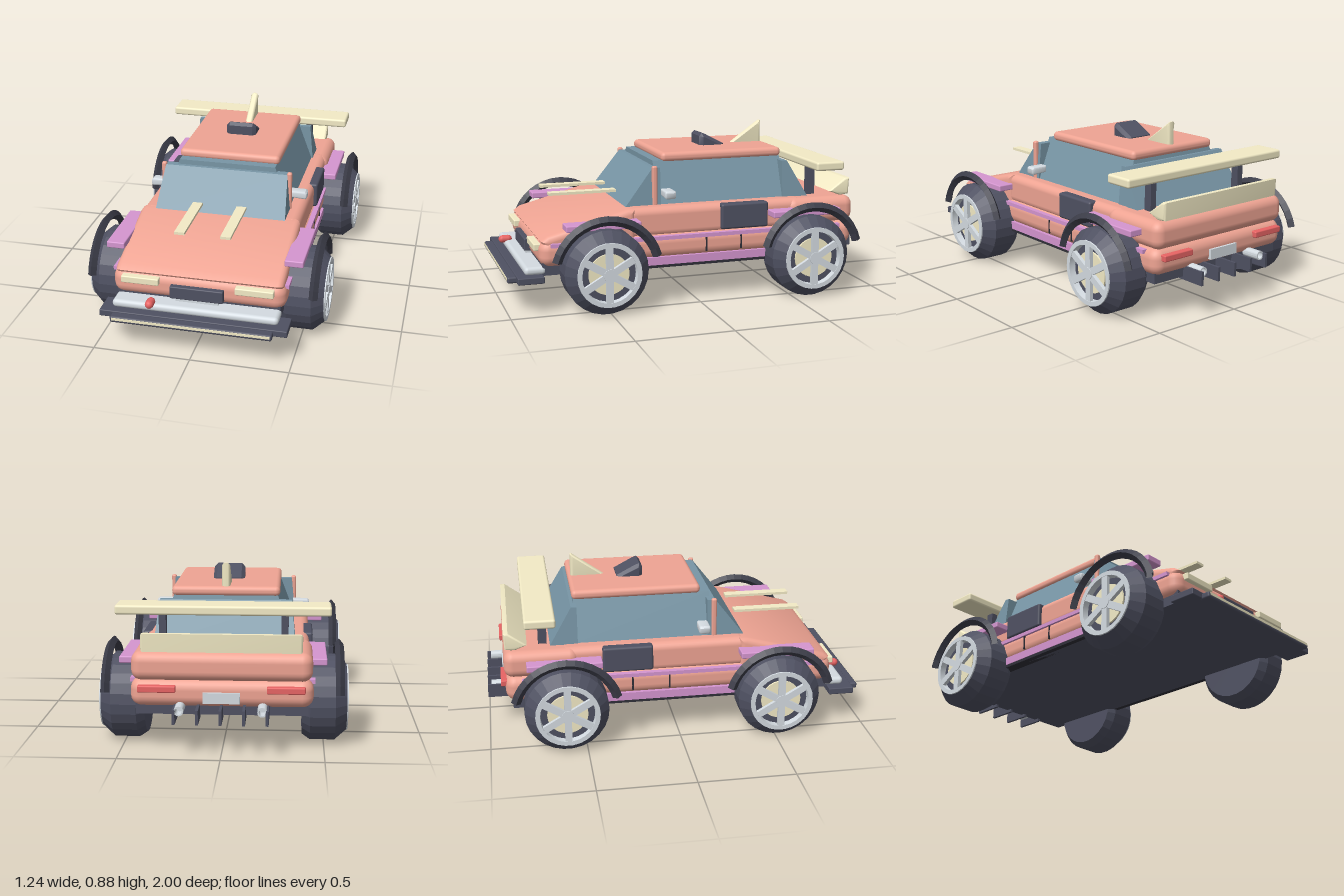
import * as THREE from 'three';
import { toCreasedNormals } from 'three/addons/utils/BufferGeometryUtils.js';
import { RoundedBoxGeometry } from 'three/addons/geometries/RoundedBoxGeometry.js';

const mat = (color, side = THREE.FrontSide) => new THREE.MeshStandardMaterial({ color, side });
const coral = mat(0xefa493), glass = mat(0x7896a6), cream = mat(0xf3ebc6), lilac = mat(0xd596d0),
  dark = mat(0x4f5162), black = mat(0x2f2f38), silver = mat(0xd4dbe1), red = mat(0xe86464),
  flareBlack = mat(0x3c3d49, THREE.DoubleSide);

export function createModel() {
  const car = new THREE.Group();
  car.name = 'rallyCar';

  const add = (name, geo, material, parent = car) => {
    const m = new THREE.Mesh(geo, material);
    m.name = name;
    parent.add(m);
    return m;
  };
  // Box given by its extents, rounded when r > 0
  const box = (name, material, [x0, x1], [y0, y1], [z0, z1], r = 0) => {
    const s = [x1 - x0, y1 - y0, z1 - z0];
    const geo = r ? new RoundedBoxGeometry(...s, 3, r) : new THREE.BoxGeometry(...s);
    return add(name, geo.translate((x0 + x1) / 2, (y0 + y1) / 2, (z0 + z1) / 2), material);
  };
  // Same box on both sides of the car
  const pair = (name, material, [x0, x1], y, z, r) => {
    box(name + 'Left', material, [x0, x1], y, z, r);
    box(name + 'Right', material, [-x1, -x0], y, z, r);
  };
  // Side outline of [z, y] points stretched across the car, with bevelled edges
  const profile = (name, material, pts, halfWidth, bevel = 0, segments = 4) => {
    const shape = new THREE.Shape(pts.map(([z, y]) => new THREE.Vector2(z, y)));
    const geo = new THREE.ExtrudeGeometry(shape, {
      depth: 2 * (halfWidth - bevel), bevelEnabled: bevel > 0, bevelSize: bevel,
      bevelThickness: bevel, bevelOffset: -bevel, bevelSegments: segments,
    });
    geo.translate(0, 0, -(halfWidth - bevel)).rotateY(-Math.PI / 2);
    return add(name, toCreasedNormals(geo, 0.6), material);
  };
  // Block with a smaller or shifted top: bottom and top are [halfWidth, y, zFront, zBack]
  const taper = (name, material, bottom, top) => {
    const geo = new THREE.BoxGeometry(1, 1, 1), p = geo.attributes.position;
    for (let i = 0; i < p.count; i++) {
      const [w, y, front, back] = p.getY(i) > 0 ? top : bottom;
      p.setXYZ(i, Math.sign(p.getX(i)) * w, y, p.getZ(i) > 0 ? front : back);
    }
    geo.computeVertexNormals();
    return add(name, geo, material);
  };

  // Body shell
  box('lowerBody', coral, [-0.445, 0.445], [0.235, 0.375], [-0.905, 0.835], 0.055);
  box('shoulder', coral, [-0.425, 0.425], [0.35, 0.51], [-0.62, 0.37], 0.04);
  box('rearDeck', coral, [-0.44, 0.44], [0.365, 0.508], [-0.91, -0.52], 0.05);
  profile('hood', coral, [[0.33, 0.33], [0.8, 0.33], [0.825, 0.37], [0.79, 0.395], [0.37, 0.508], [0.33, 0.508]], 0.432, 0.03);
  box('floor', dark, [-0.42, 0.42], [0.195, 0.26], [-0.87, 0.82]);

  // Cabin glass, narrowing towards the roof
  taper('cabinGlass', glass, [0.35, 0.5, 0.19, -0.57], [0.262, 0.73, 0.19, -0.53]);
  taper('windscreen', glass, [0.352, 0.5, 0.37, 0.17], [0.333, 0.703, 0.212, 0.17]);
  taper('rearWindow', glass, [0.355, 0.5, -0.52, -0.67], [0.335, 0.705, -0.52, -0.55]);
  pair('pillar', coral, [0.33, 0.357], [0.5, 0.715], [0.19, 0.218], 0.01);
  box('roof', coral, [-0.275, 0.275], [0.72, 0.77], [-0.54, 0.143], 0.022);

  // Roof scoop and fin
  profile('roofScoop', dark, [[-0.28, 0.75], [-0.14, 0.75], [-0.14, 0.82], [-0.155, 0.836], [-0.175, 0.83], [-0.28, 0.775]], 0.083, 0.018, 1);
  profile('roofFin', cream, [[-0.525, 0.75], [-0.34, 0.75], [-0.34, 0.765], [-0.515, 0.889], [-0.525, 0.889]], 0.021, 0.018);

  // Wing and tail lip
  box('rearWing', cream, [-0.528, 0.528], [0.67, 0.717], [-0.8, -0.64], 0.012);
  pair('wingStrut', dark, [0.285, 0.32], [0.49, 0.68], [-0.725, -0.68]);
  profile('tailLip', cream, [[-0.9, 0.51], [-0.85, 0.505], [-0.785, 0.53], [-0.88, 0.6], [-0.905, 0.6]], 0.39, 0.012);

  // Floating hood strips
  pair('hoodStrip', cream, [0.092, 0.145], [0.55, 0.564], [0.36, 0.725]);

  // Side trim
  pair('sideStrip', lilac, [0.42, 0.453], [0.342, 0.362], [-0.82, 0.78]);
  pair('sideSkirt', lilac, [0.39, 0.45], [0.21, 0.252], [-0.42, 0.34]);
  pair('sideSill', black, [0.39, 0.447], [0.195, 0.212], [-0.42, 0.34]);
  pair('sideIntake', dark, [0.385, 0.445], [0.372, 0.508], [-0.4, -0.135], 0.012);
  for (const z of [-0.05, -0.245]) pair('panelSeam', black, [0.43, 0.448], [0.265, 0.342], [z - 0.004, z + 0.004]);
  // Mirrors narrow towards the tip
  for (const s of [-1, 1]) {
    const shape = new THREE.Shape([[0.34, 0.556], [0.425, 0.55], [0.432, 0.56], [0.432, 0.582], [0.422, 0.592], [0.34, 0.592]]
      .map(([x, y]) => new THREE.Vector2(s * x, y)));
    const geo = new THREE.ExtrudeGeometry(shape, { depth: 0.04, bevelSize: 0.01, bevelThickness: 0.01, bevelOffset: -0.01, bevelSegments: 3 });
    add('mirror', toCreasedNormals(geo, 0.7), silver).position.z = 0.121;
  }

  // Nose: lights, plate, bumper, splitter
  pair('headlight', cream, [0.195, 0.39], [0.318, 0.355], [0.8, 0.858], 0.006);
  box('frontPlate', dark, [-0.137, 0.137], [0.26, 0.327], [0.81, 0.862], 0.006);
  box('plateTrim', silver, [-0.11, 0.11], [0.243, 0.258], [0.81, 0.85]);
  box('frontBumper', silver, [-0.425, 0.425], [0.2, 0.243], [0.8, 0.912], 0.02);
  box('splitter', dark, [-0.478, 0.478], [0.17, 0.205], [0.82, 0.955], 0.005);
  box('splitterLip', dark, [-0.41, 0.41], [0.165, 0.198], [0.94, 0.998], 0.01);
  box('splitterStripe', cream, [-0.4, 0.4], [0.179, 0.192], [0.98, 1]);
  add('towHook', new THREE.CapsuleGeometry(0.022, 0.03, 4, 12).rotateX(Math.PI / 2), red).position.set(-0.225, 0.247, 0.905);

  // Tail: lights, plate, diffuser, exhausts
  pair('tailLight', red, [0.22, 0.405], [0.315, 0.348], [-0.928, -0.89], 0.006);
  box('rearPlate', silver, [-0.09, 0.09], [0.262, 0.315], [-0.918, -0.89]);
  for (let i = -2; i <= 2; i++) {
    const x = i * 0.112;
    box('diffuserFin', dark, [x - 0.007, x + 0.007], [0.178, 0.25], [-1, -0.84]);
  }
  for (const s of [-1, 1]) {
    const pts = [[0, -0.04], [0.024, -0.04], [0.024, 0.06], [0.017, 0.06], [0.017, 0], [0, 0]];
    const pipe = new THREE.LatheGeometry(pts.map(q => new THREE.Vector2(...q)), 16).rotateX(-Math.PI / 2);
    add('exhaust', toCreasedNormals(pipe, 0.6), silver).position.set(s * 0.2, 0.24, -0.92);
  }

  // Wheels with axle along local y, outer face at +y
  const lathe = (pts, crease) => toCreasedNormals(
    new THREE.LatheGeometry(pts.map(q => new THREE.Vector2(...q)), 26), crease);
  const makeWheel = () => {
    const w = new THREE.Group();
    w.name = 'wheel';
    // Faceted tread
    add('tyre', lathe([[0, -0.11], [0.19, -0.11], [0.218, -0.07], [0.218, 0.055], [0.165, 0.115], [0.158, 0.085], [0, 0.085]], 0.15), dark, w);
    add('rimRing', lathe([[0.17, 0.095], [0.166, 0.119], [0.143, 0.119], [0.14, 0.08]], 0.45), silver, w);
    add('brakeDisc', new THREE.CylinderGeometry(0.105, 0.105, 0.02, 28), cream, w).position.y = 0.085;
    add('hub', new THREE.CylinderGeometry(0.032, 0.036, 0.04, 16), silver, w).position.y = 0.1;
    for (let i = 0; i < 6; i++) {
      add('spoke', new THREE.BoxGeometry(0.036, 0.02, 0.13).translate(0, 0.107, 0.085), silver, w)
        .rotation.y = i * Math.PI / 3 + Math.PI / 6;
    }
    return w;
  };
  const start = 0.27; // flare ends sit a little above the axle
  for (const z of [0.518, -0.6]) {
    for (const s of [-1, 1]) {
      const wheel = makeWheel();
      wheel.rotation.z = -s * Math.PI / 2;
      wheel.position.set(s * 0.5, 0.222, z);
      car.add(wheel);
      // Diamond-section arch flare
      const flare = new THREE.TorusGeometry(0.268, 0.025, 4, 16, Math.PI - 2 * start)
        .rotateZ(start).rotateY(Math.PI / 2).scale(0.9, 1, 1).toNonIndexed();
      flare.computeVertexNormals();
      add('archFlare', flare, flareBlack).position.set(s * 0.573, 0.223, z);
    }
    pair('fender', lilac, [0.415, 0.51], [0.428, 0.462], [z - 0.195, z + 0.195], 0.006);
  }
  return car;
}
